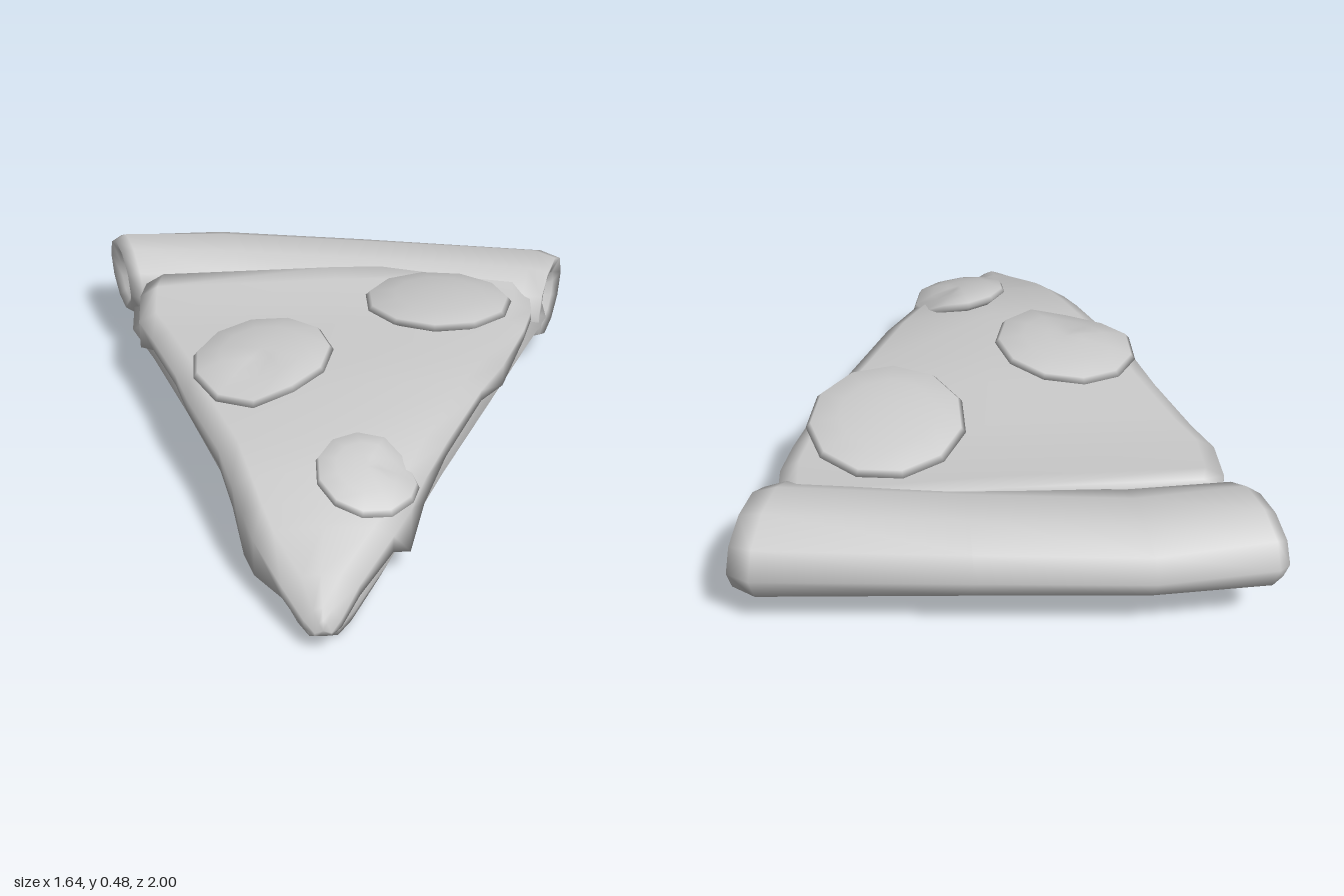
import * as THREE from 'three';

const dough = new THREE.MeshStandardMaterial({ color: 0xcccccc });
dough.name = 'plain grey';

// Smooth closed skin through rings of [x, y, z] points, closed at both ends
function loft(rings) {
  const n = rings[0].length, pos = rings.flat(), idx = [];
  for (let i = 0; i < rings.length - 1; i++) {
    for (let j = 0; j < n; j++) {
      const a = i * n + j, b = i * n + (j + 1) % n;
      idx.push(a, b, a + n, b, b + n, a + n);
    }
  }
  const cap = (start, flip) => {
    const ring = pos.slice(start, start + n);
    const c = pos.push([0, 1, 2].map(k => ring.reduce((s, p) => s + p[k], 0) / n)) - 1;
    for (let j = 0; j < n; j++) {
      const a = start + j, b = start + (j + 1) % n;
      idx.push(...(flip ? [b, a, c] : [a, b, c]));
    }
  };
  cap(0, true);
  cap((rings.length - 1) * n, false);
  // Turn the faces outward if the rings ran the other way
  let volume = 0;
  const v = pos.map(p => new THREE.Vector3(...p));
  for (let i = 0; i < idx.length; i += 3) {
    volume += v[idx[i]].dot(v[idx[i + 1]].clone().cross(v[idx[i + 2]]));
  }
  if (volume < 0) idx.reverse();
  const g = new THREE.BufferGeometry();
  g.setAttribute('position', new THREE.Float32BufferAttribute(pos.flat(), 3));
  g.setIndex(idx);
  g.computeVertexNormals();
  return g;
}

function part(name, geometry) {
  const m = new THREE.Mesh(geometry, dough);
  m.name = name;
  return m;
}

// Rolled crust with slanted, dimpled ends: x, y, z, y radius, z radius, slant
function crust() {
  const stations = [
    [-0.70, 0.28, -0.79, 0.03, 0.04, 0.25],
    [-0.76, 0.28, -0.79, 0.08, 0.11, 0.25],
    [-0.78, 0.285, -0.79, 0.115, 0.155, 0.27],
    [-0.74, 0.285, -0.79, 0.14, 0.18, 0.27],
    [-0.40, 0.285, -0.80, 0.12, 0.2, 0.12],
    [0.10, 0.27, -0.73, 0.13, 0.2, 0],
    [0.68, 0.245, -0.635, 0.15, 0.2, -0.35],
    [0.75, 0.245, -0.62, 0.13, 0.17, -0.38],
    [0.74, 0.25, -0.62, 0.08, 0.1, -0.35],
    [0.67, 0.26, -0.62, 0.03, 0.04, -0.3],
  ];
  return loft(stations.map(([x, y, z, ry, rz, slant]) =>
    Array.from({ length: 10 }, (_, i) => {
      const a = i / 10 * Math.PI * 2, dz = Math.cos(a) * rz;
      return [x + dz * slant, y + Math.sin(a) * ry, z + dz];
    })));
}

// Dough under the cheese: z, left edge x, right edge x, top y, bottom y
function base() {
  const stations = [
    [-0.68, -0.73, 0.72, 0.30, 0.16],
    [-0.50, -0.73, 0.72, 0.29, 0.165],
    [-0.30, -0.65, 0.62, 0.28, 0.175],
    [0.05, -0.53, 0.45, 0.28, 0.18],
    [0.37, -0.41, 0.27, 0.26, 0.115],
    [0.70, -0.30, 0.08, 0.17, 0.045],
    [0.86, -0.22, -0.03, 0.10, 0.012],
    [0.91, -0.18, -0.08, 0.06, 0.0],
  ];
  return loft(stations.map(([z, l, r, t, b]) => {
    const m = (t + b) / 2, c = (l + r) / 2, e = (r - l) * 0.08;
    return [[l + e, t, z], [c, t, z], [r - e, t, z], [r, m, z],
      [r - e, b, z], [c, b, z], [l + e, b, z], [l, m, z]];
  }));
}

// Cheese sheet with drips: z, left x, right x, top y, left drop, right drop
function cheese() {
  const stations = [
    [-0.63, -0.68, 0.64, 0.375, 0.07, 0.07],
    [-0.56, -0.70, 0.66, 0.365, 0.09, 0.09],
    [-0.40, -0.70, 0.65, 0.355, 0.14, 0.08],
    [-0.28, -0.65, 0.61, 0.355, 0.08, 0.08],
    [-0.05, -0.57, 0.51, 0.36, 0.08, 0.12],
    [0.10, -0.53, 0.42, 0.36, 0.09, 0.08],
    [0.37, -0.43, 0.28, 0.345, 0.10, 0.09],
    [0.52, -0.39, 0.20, 0.315, 0.12, 0.13],
    [0.63, -0.36, 0.15, 0.285, 0.19, 0.20],
    [0.72, -0.33, 0.09, 0.255, 0.17, 0.10],
    [0.87, -0.25, -0.02, 0.195, 0.08, 0.08],
    [0.97, -0.19, -0.08, 0.15, 0.07, 0.07],
    [1.0, -0.16, -0.11, 0.125, 0.05, 0.05],
  ];
  return loft(stations.map(([z, l, r, t, dl, dr]) => {
    const e = Math.min(0.06, (r - l) * 0.25), under = t - Math.min(0.08, dl);
    return [[l, t - dl, z], [l, t - 0.04, z], [l + e, t - 0.004, z],
      [(l + r) / 2, t + 0.006, z], [r - e, t - 0.004, z], [r, t - 0.04, z],
      [r, t - dr, z], [r - e, under, z], [l + e, under, z]];
  }));
}

// Domed topping, tilted by its slopes, with a dent in the rim at one angle
function topping(x, y, z, radius, slopeX, slopeZ, dentAngle) {
  const profile = [[0.4, -0.03], [0.85, -0.025], [1, -0.005], [0.94, 0.012], [0.6, 0.028], [0.25, 0.034]];
  return loft(profile.map(([f, h]) => Array.from({ length: 11 }, (_, i) => {
    const a = i / 11 * Math.PI * 2;
    const dx = Math.cos(a) * f * radius, dz = Math.sin(a) * f * radius;
    const dent = dentAngle === null ? 0
      : Math.max(0, Math.cos(a - dentAngle) - 0.7) / 0.3 * f * 0.035;
    return [x + dx, y + h + dx * slopeX + dz * slopeZ - dent, z + dz];
  })));
}

export function createModel() {
  const slice = new THREE.Group();
  slice.name = 'pizzaSlice';
  slice.add(
    part('crust', crust()),
    part('doughBase', base()),
    part('cheese', cheese()),
    part('backTopping', topping(0.315, 0.42, -0.31, 0.25, -0.02, 0.14, null)),
    part('middleTopping', topping(-0.285, 0.435, 0.04, 0.23, 0.11, -0.02, 1.9)),
    part('frontTopping', topping(0.02, 0.325, 0.555, 0.16, -0.13, -0.27, -0.3)),
  );
  return slice;
}
